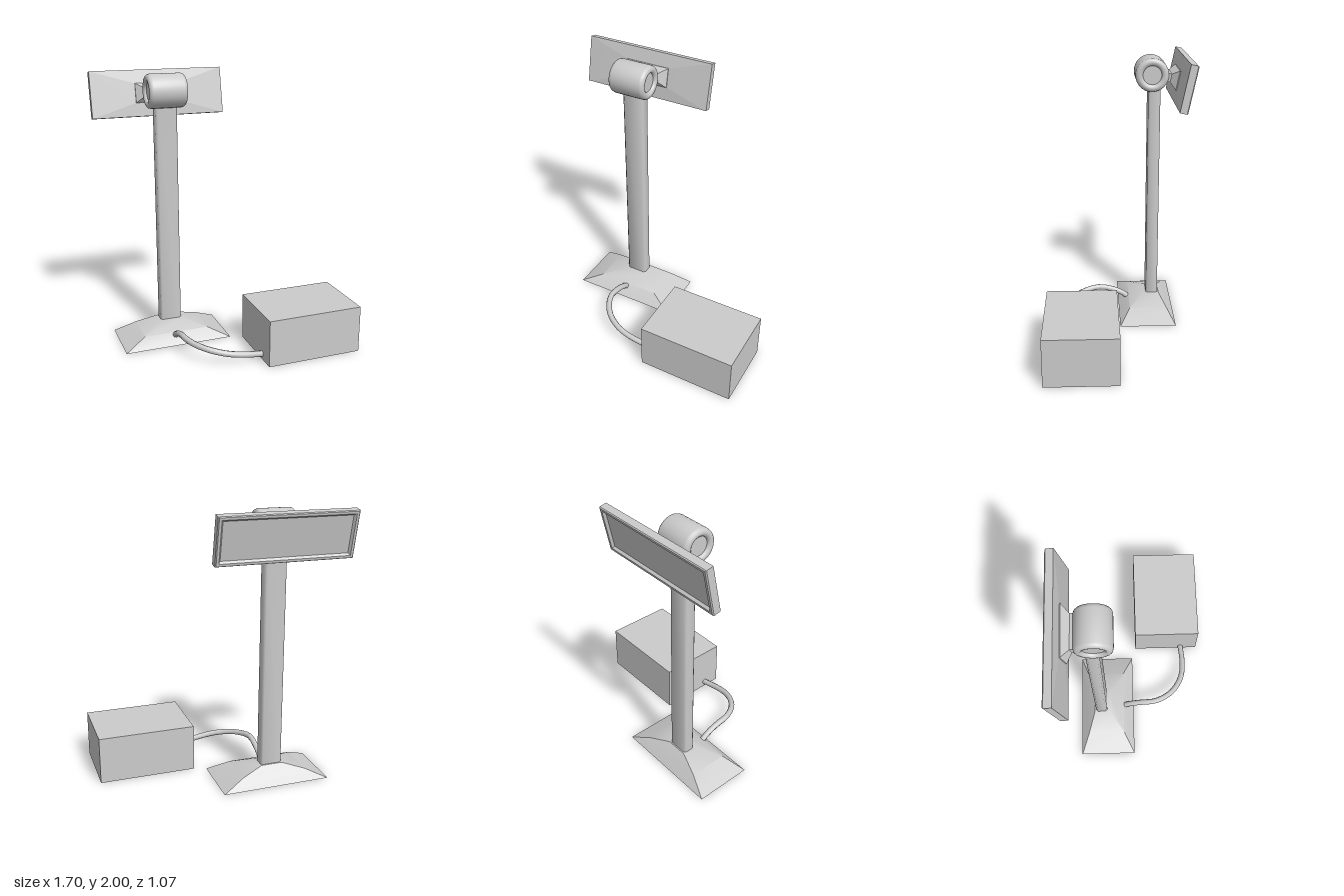
import * as THREE from 'three';
import { toCreasedNormals } from 'three/addons/utils/BufferGeometryUtils.js';

const grey = new THREE.MeshStandardMaterial({ color: 0xcccccc });
const greyThin = new THREE.MeshStandardMaterial({ color: 0xcccccc, side: THREE.DoubleSide });

function add(parent, name, geometry, material = grey) {
  const mesh = new THREE.Mesh(geometry, material);
  mesh.name = name;
  parent.add(mesh);
  return mesh;
}

// Skin over rectangles [x0, x1, y0, y1, z], listed from back to front.
function rectLoft(rings, { startCap = true, endCap = true, crease = 0.1 } = {}) {
  const pos = [];
  const corners = rings.map(([x0, x1, y0, y1, z]) =>
    [[x0, y0, z], [x1, y0, z], [x1, y1, z], [x0, y1, z]]);
  const quad = (a, b, c, d) => pos.push(...a, ...b, ...c, ...a, ...c, ...d);
  for (let i = 0; i < corners.length - 1; i++) {
    for (let j = 0; j < 4; j++) {
      const k = (j + 1) % 4;
      quad(corners[i][j], corners[i][k], corners[i + 1][k], corners[i + 1][j]);
    }
  }
  const s = corners[0], e = corners[corners.length - 1];
  if (startCap) quad(s[3], s[2], s[1], s[0]);
  if (endCap) quad(...e);
  const g = new THREE.BufferGeometry();
  g.setAttribute('position', new THREE.Float32BufferAttribute(pos, 3));
  g.computeVertexNormals();
  return toCreasedNormals(g, crease);
}

const centred = (hw, hh, z) => [-hw, hw, -hh, hh, z];

export function createModel() {
  const model = new THREE.Group();
  const standX = -0.36;

  // Separate equipment box on the floor
  add(model, 'equipmentBox', new THREE.BoxGeometry(0.715, 0.35, 0.515))
    .position.set(0.49, 0.175, 0.277);

  // Hollow domed foot: local y runs towards the back
  const foot = add(model, 'foot', rectLoft([
    [-0.405, 0.405, 0.01, 0.435, 0],
    [-0.245, 0.245, 0.09, 0.375, 0.075],
    [-0.08, 0.08, 0.2, 0.325, 0.127],
  ], { startCap: false, crease: 0.6 }), greyThin);
  foot.rotation.x = -Math.PI / 2;
  foot.position.x = standX;

  // Upright post with chamfered corners
  const w = 0.08, d = 0.045, c = 0.014;
  const section = new THREE.Shape([
    [-w + c, -d], [w - c, -d], [w, -d + c], [w, d - c],
    [w - c, d], [-w + c, d], [-w, d - c], [-w, -d + c],
  ].map(([x, y]) => new THREE.Vector2(x, y)));
  const post = add(model, 'post', toCreasedNormals(
    new THREE.ExtrudeGeometry(section, { depth: 1.69, bevelEnabled: false }), 0.9));
  post.rotation.x = -Math.PI / 2;
  post.position.set(standX, 0.1, -0.27);

  // Hinge drum across the top, with rounded rims and sunken end discs
  const half = [
    [0, 0.118], [0.068, 0.118], [0.07, 0.128], [0.08, 0.137],
    [0.094, 0.14], [0.108, 0.136], [0.118, 0.126], [0.122, 0.11],
  ];
  const profile = [
    ...half.map(([r, y]) => new THREE.Vector2(r, -y)),
    ...half.slice().reverse().map(([r, y]) => new THREE.Vector2(r, y)),
  ];
  const drum = add(model, 'hingeDrum', toCreasedNormals(new THREE.LatheGeometry(profile, 32), 0.75));
  drum.rotation.z = Math.PI / 2;
  drum.position.set(standX, 1.868, -0.25);

  // Tilted display head, screen facing the back
  const head = new THREE.Group();
  head.name = 'displayHead';
  head.position.set(standX, 1.828, -0.473);
  head.rotation.x = -0.205;
  model.add(head);
  add(head, 'displayPanel', rectLoft([
    centred(0.455, 0.133, -0.012),
    centred(0.468, 0.146, -0.029),
    centred(0.486, 0.163, -0.029),
    centred(0.4925, 0.168, -0.022),
    centred(0.4925, 0.168, 0.029),
    centred(0.17, 0.07, 0.039),
  ]));
  add(head, 'displayBracket', rectLoft([
    centred(0.17, 0.07, 0.034),
    centred(0.17, 0.07, 0.045),
    centred(0.115, 0.03, 0.09),
    centred(0.115, 0.03, 0.12),
  ]));

  // Cable from the foot to the box
  const path = new THREE.CatmullRomCurve3([
    [-0.372, 0.05, -0.085], [-0.372, 0.085, -0.04], [-0.372, 0.125, 0.06],
    [-0.37, 0.138, 0.155], [-0.335, 0.13, 0.245], [-0.265, 0.115, 0.33],
    [-0.145, 0.09, 0.395], [-0.01, 0.065, 0.412], [0.15, 0.04, 0.4],
  ].map((p) => new THREE.Vector3(...p)));
  add(model, 'cable', new THREE.TubeGeometry(path, 18, 0.022, 8), greyThin);

  return model;
}
